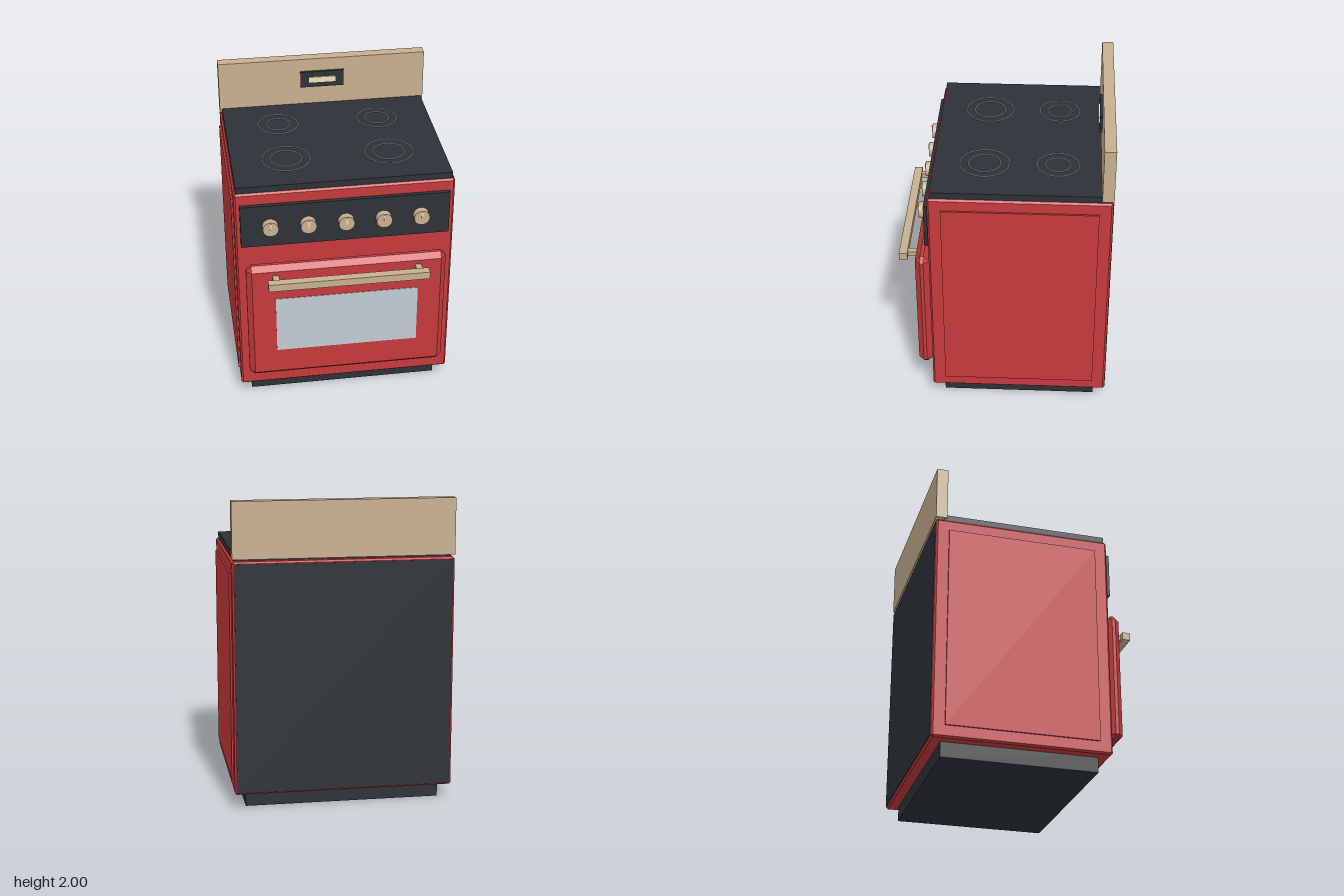
import * as THREE from 'three';
import { ConvexGeometry } from 'three/addons/geometries/ConvexGeometry.js';

const mat = (color) => new THREE.MeshStandardMaterial({ color });

export function createModel() {
  const stove = new THREE.Group();
  stove.name = 'stove';
  const red = mat(0xc53a3c), dark = mat(0x2d3238), tan = mat(0xc8b08f);
  const glass = mat(0xc1ccd3), cream = mat(0xeee3bd), silver = mat(0xb9b9b5);

  const add = (name, geometry, material, parent = stove) => {
    const mesh = new THREE.Mesh(geometry, material);
    mesh.name = name;
    parent.add(mesh);
    return mesh;
  };
  // box given by its limits on each axis
  const box = (name, material, [x0, x1], [y0, y1], [z0, z1], parent) => {
    const mesh = add(name, new THREE.BoxGeometry(x1 - x0, y1 - y0, z1 - z0), material, parent);
    mesh.position.set((x0 + x1) / 2, (y0 + y1) / 2, (z0 + z1) / 2);
    return mesh;
  };
  // box with all edges and corners cut by a flat bevel
  const bevelBox = (name, material, [x0, x1], [y0, y1], [z0, z1], b) => {
    const h = [(x1 - x0) / 2, (y1 - y0) / 2, (z1 - z0) / 2];
    const points = [];
    for (let axis = 0; axis < 3; axis++)
      for (const sx of [-1, 1]) for (const sy of [-1, 1]) for (const sz of [-1, 1]) {
        const [x, y, z] = h.map((v, i) => (i === axis ? v : v - b));
        points.push(new THREE.Vector3(sx * x, sy * y, sz * z));
      }
    const mesh = add(name, new ConvexGeometry(points), material);
    mesh.position.set((x0 + x1) / 2, (y0 + y1) / 2, (z0 + z1) / 2);
  };

  // carcass
  box('plinth', dark, [-0.64, 0.64], [0, 0.11], [-0.615, 0.4]);
  bevelBox('body', red, [-0.715, 0.715], [0.1, 1.62], [-0.69, 0.475], 0.012);
  box('backPanel', dark, [-0.7, 0.7], [0.115, 1.605], [-0.693, -0.68]);
  for (const s of [-1, 1]) {
    const panel = box('sidePanel', red, [-0.01, 0.01], [0.18, 1.54], [-0.605, 0.39]);
    panel.position.x = s * 0.717;
  }

  // cooktop and burner rings
  box('cooktop', dark, [-0.7, 0.7], [1.615, 1.662], [-0.635, 0.46]);
  for (const [z, radii] of [[-0.34, [0.135, 0.081]], [0.132, [0.159, 0.103]]])
    for (const x of [-0.34, 0.34])
      for (const r of radii) {
        const ring = add('burnerRing', new THREE.TorusGeometry(r, 0.004, 6, 48), silver);
        ring.rotation.x = -Math.PI / 2;
        ring.position.set(x, 1.664, z);
      }

  // backsplash with display
  box('backsplash', tan, [-0.715, 0.715], [1.635, 2], [-0.693, -0.618]);
  box('displayFrame', dark, [-0.15, 0.15], [1.795, 1.91], [-0.62, -0.6]);
  box('displayScreen', cream, [-0.093, 0.093], [1.832, 1.872], [-0.602, -0.592]);

  // control panel and knobs
  box('controlPanel', dark, [-0.68, 0.68], [1.24, 1.54], [0.47, 0.502]);
  for (let i = -2; i <= 2; i++) {
    const knob = new THREE.Group();
    knob.name = 'knob';
    knob.position.set(i * 0.245, 1.39, 0.5);
    const dial = add('knobDial', new THREE.CylinderGeometry(0.051, 0.051, 0.05, 32), tan, knob);
    dial.rotation.x = Math.PI / 2;
    dial.position.z = 0.025;
    box('knobPointer', cream, [-0.004, 0.004], [0, 0.045], [0.048, 0.057], knob);
    stove.add(knob);
  }

  // oven door, window and handle
  bevelBox('ovenDoor', red, [-0.66, 0.66], [0.232, 1.115], [0.483, 0.575], 0.035);
  box('ovenWindow', glass, [-0.473, 0.473], [0.445, 0.865], [0.56, 0.578]);
  for (const x of [-0.47, 0.47])
    box('handlePost', tan, [x - 0.021, x + 0.021], [1.018, 1.05], [0.57, 0.64]);
  box('handleBar', tan, [-0.527, 0.527], [1.008, 1.06], [0.637, 0.692]);

  return stove;
}
